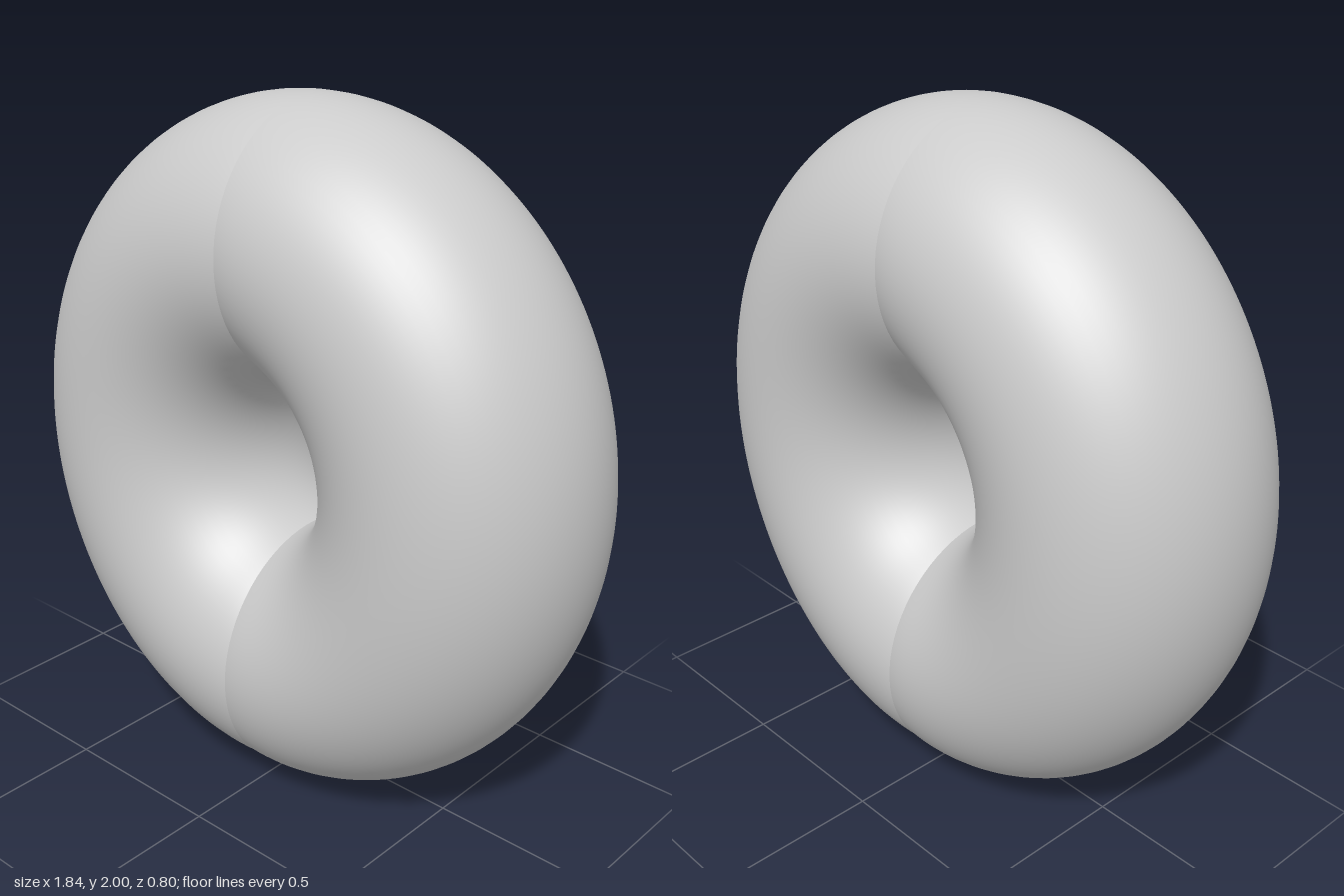
import * as THREE from 'three';
import { ParametricGeometry } from 'three/addons/geometries/ParametricGeometry.js';

// One half of the ring: elliptical sections spanning from the hole edge to the outer rim
function halfRingPoint(u, v, target) {
  const t = (u - 0.5) * Math.PI;
  const a = v * Math.PI * 2;
  // outer rim is an ellipse
  const ox = 0.92 * Math.cos(t), oy = Math.sin(t);
  // hole edge is a shallow arc, so the two halves meet in a point
  const p = (t / (Math.PI / 2)) * Math.asin(0.233 / 0.256);
  const ix = 0.256 * Math.cos(p) - 0.1061, iy = 0.256 * Math.sin(p);
  // thickness dips slightly towards the seam
  const depth = 0.4 - 0.018 * Math.exp(-6 * Math.cos(t));
  const k = 0.5 + 0.5 * Math.cos(a);
  target.set(ix + (ox - ix) * k, 1 + iy + (oy - iy) * k, depth * Math.sin(a));
}

export function createModel() {
  const group = new THREE.Group();
  group.name = 'ring';
  const material = new THREE.MeshStandardMaterial({ color: 0xcccccc });
  const geometry = new ParametricGeometry(halfRingPoint, 96, 72);

  // Two matching halves joined at x = 0 with a crease
  ['leftHalf', 'rightHalf'].forEach((name, i) => {
    const half = new THREE.Mesh(geometry, material);
    half.name = name;
    half.rotation.y = i * Math.PI;
    group.add(half);
  });
  return group;
}
